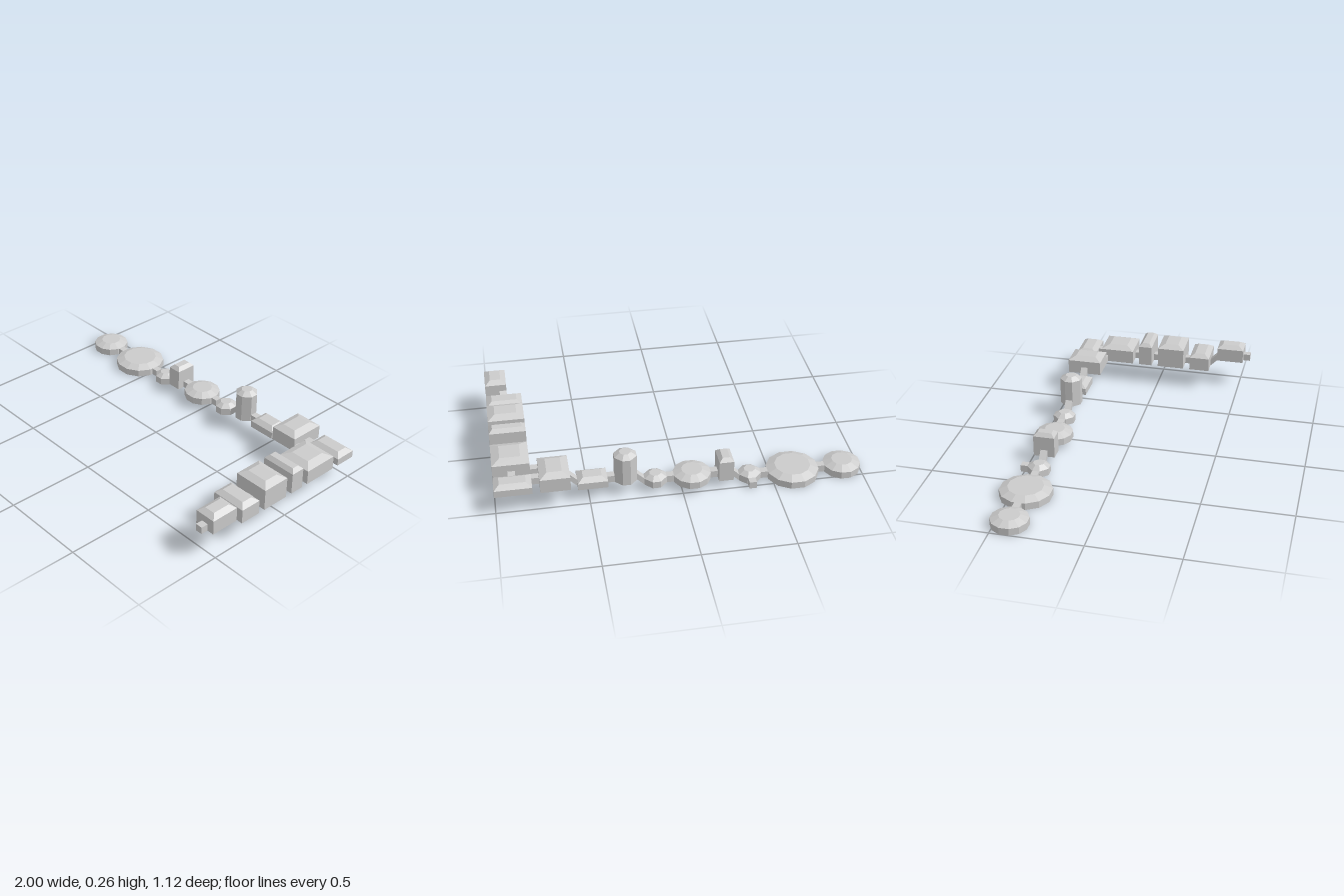
import * as THREE from 'three';

const material = new THREE.MeshStandardMaterial({ color: 0xcccccc, flatShading: true });
const ROOF = 0.02, Z0 = -0.42, X0 = 0.9;

// Footprints centred on the origin, in order round the edge
function outline(kind, w, d) {
  const a = w / 2, b = d / 2;
  const corner = {
    box: [[1, 1]],
    octagon: [[1, 0.36], [0.36, 1]],
    round: [[1, 0.268], [0.732, 0.732], [0.268, 1]],
  }[kind];
  const points = [];
  for (const [sx, sz] of [[1, 1], [-1, 1], [-1, -1], [1, -1]]) {
    const quarter = sx * sz > 0 ? corner : [...corner].reverse();
    for (const [x, z] of quarter) points.push([x * sx * a, z * sz * b]);
  }
  return points;
}

// Joins equal-sized rings of [x, y, z] and caps both ends
function loft(name, rings) {
  const n = rings[0].length, index = [];
  for (let r = 0; r < rings.length - 1; r++) {
    for (let i = 0; i < n; i++) {
      const a = r * n + i, b = r * n + (i + 1) % n;
      index.push(a, a + n, b, b, a + n, b + n);
    }
  }
  const top = (rings.length - 1) * n;
  for (let i = 1; i < n - 1; i++) {
    index.push(0, i, i + 1, top, top + i + 1, top + i);
  }
  const geometry = new THREE.BufferGeometry();
  geometry.setAttribute('position', new THREE.Float32BufferAttribute(rings.flat(2), 3));
  geometry.setIndex(index);
  const flat = geometry.toNonIndexed();
  flat.computeVertexNormals();
  const mesh = new THREE.Mesh(flat, material);
  mesh.name = name;
  return mesh;
}

// Straight-walled room under a low hipped roof
function room(name, kind, x1, x2, z1, z2, y1, y2) {
  const w = x2 - x1, d = z2 - z1, inset = Math.min(0.045, w / 4, d / 4);
  const cx = (x1 + x2) / 2, cz = (z1 + z2) / 2;
  const base = outline(kind, w, d), crown = outline(kind, w - 2 * inset, d - 2 * inset);
  const ring = (points, y) => points.map(([x, z]) => [cx + x, y, cz + z]);
  return loft(name, [ring(base, y1), ring(base, y2), ring(crown, y2 + ROOF)]);
}

// Square passage, level or sloping, running along x or z
function passage(name, axis, from, to, across, yFrom, yTo = yFrom) {
  const h = 0.02;
  const section = (t, y) => {
    const corners = [[-h, 0], [-h, 0.04], [h, 0.04], [h, 0]];
    if (axis === 'x') corners.reverse();
    return corners.map(([s, v]) => axis === 'x' ? [t, y + v, across + s] : [across + s, y + v, t]);
  };
  return loft(name, [section(from, yFrom), section(to, yTo)]);
}

export function createModel() {
  const model = new THREE.Group();
  model.name = 'roomChain';

  // Rooms along the back: kind, x range, depth, floor, eave
  const backRooms = [
    ['endRoundRoom', 'round', -1, -0.8, 0.2, 0, 0.04],
    ['largeRoundRoom', 'round', -0.76, -0.48, 0.28, 0, 0.04],
    ['lowOctagonRoom', 'octagon', -0.44, -0.32, 0.12, 0, 0.04],
    ['tallNarrowRoom', 'box', -0.28, -0.2, 0.12, 0.04, 0.16],
    ['middleRoundRoom', 'round', -0.16, 0.04, 0.2, 0.04, 0.08],
    ['middleOctagonRoom', 'octagon', 0.08, 0.2, 0.12, 0.04, 0.08],
    ['octagonTower', 'octagon', 0.24, 0.36, 0.12, 0.08, 0.24],
    ['lowHall', 'box', 0.4, 0.56, 0.12, 0.08, 0.12],
    ['highHall', 'box', 0.6, 0.76, 0.2, 0.12, 0.2],
  ];
  backRooms.forEach(([name, kind, x1, x2, d, y1, y2], i) => {
    model.add(room(name, kind, x1, x2, Z0 - d / 2, Z0 + d / 2, y1, y2));
    const next = backRooms[i + 1];
    if (next) model.add(passage('backPassage', 'x', x2, next[2], Z0, y1, next[5]));
  });

  // Rooms along the left side: x start, z range, floor, eave
  const sideRooms = [
    ['cornerRoom', 0.8, -0.52, -0.4, 0.12, 0.16],
    ['squareHall', 0.8, -0.36, -0.16, 0.12, 0.2],
    ['tallThinRoom', 0.8, -0.12, -0.04, 0.12, 0.24],
    ['tallHall', 0.8, 0, 0.16, 0.12, 0.24],
    ['sideRoom', 0.8, 0.2, 0.32, 0.12, 0.2],
    ['frontRoom', 0.88, 0.36, 0.52, 0.16, 0.24],
  ];
  sideRooms.forEach(([name, x1, z1, z2, y1, y2], i) => {
    model.add(room(name, 'box', x1, 1, z1, z2, y1, y2));
    const next = sideRooms[i + 1];
    if (next) model.add(passage('sidePassage', 'z', z2, next[2], X0, y1, next[4]));
  });

  // Corner links and the two entrances
  model.add(
    passage('cornerPassage', 'x', 0.76, 0.8, Z0, 0.12),
    passage('hallPassage', 'x', 0.76, 0.8, -0.34, 0.12),
    passage('backEntrance', 'z', -0.52, -0.48, -0.38, 0),
    passage('frontEntrance', 'z', 0.52, 0.56, 0.94, 0.16),
  );
  return model;
}
